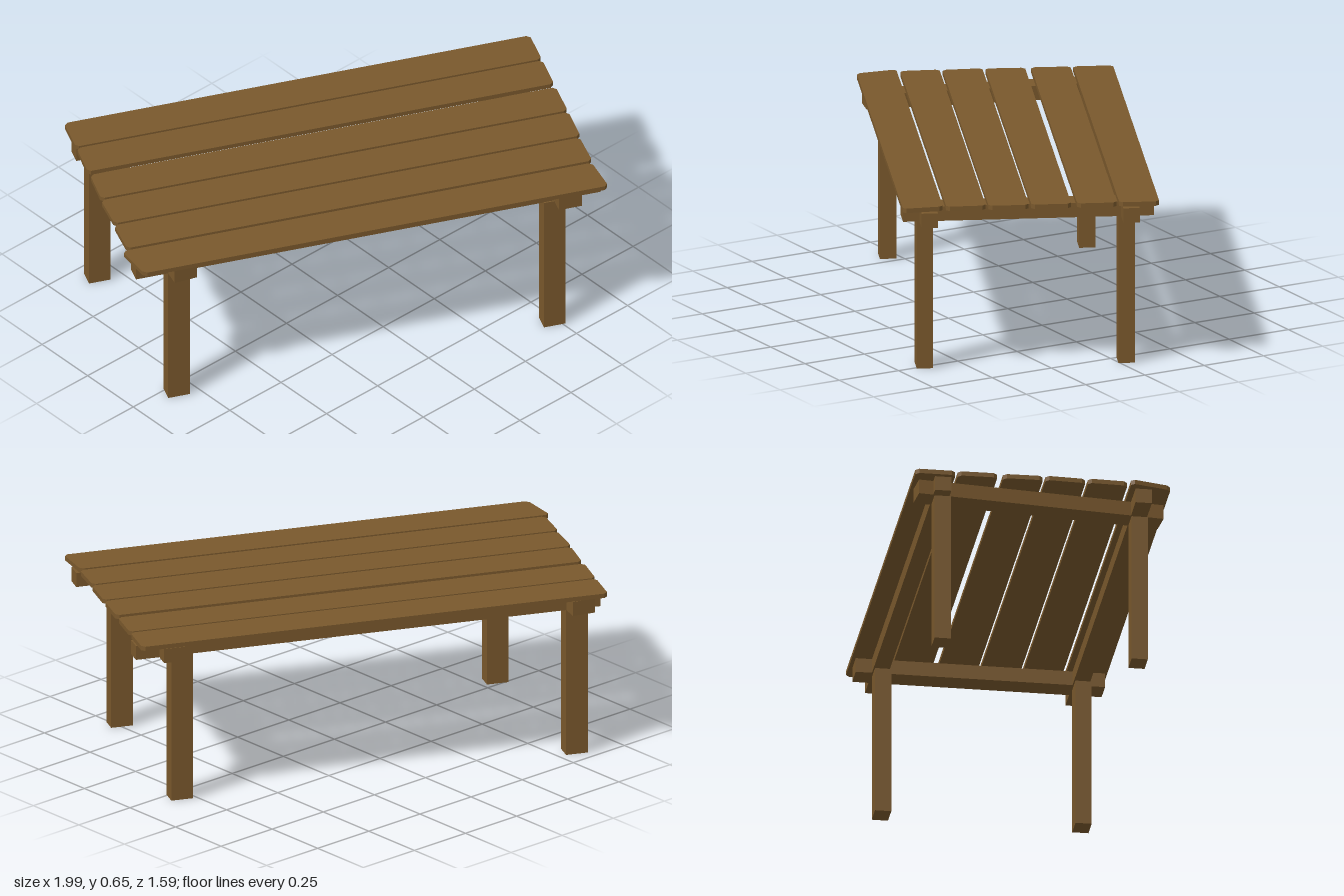
import * as THREE from 'three';

export function createModel() {
  const table = new THREE.Group();
  table.name = 'plankTable';
  table.rotation.y = -Math.atan2(0.416, 0.909); // table stands at an angle
  const wood = new THREE.MeshStandardMaterial({ color: 0x79582c });
  wood.name = 'brownWood';

  function add(name, geometry, x, y, z, turn = 0) {
    const mesh = new THREE.Mesh(geometry, wood);
    mesh.name = name;
    mesh.position.set(x, y, z);
    mesh.rotation.y = turn;
    table.add(mesh);
  }

  // Board outline with clipped corners, laid flat
  function plank(corners, thickness) {
    const pts = corners.map(([x, z]) => new THREE.Vector2(x, -z));
    const outline = [];
    pts.forEach((p, i) => {
      for (const q of [pts[(i + 3) % 4], pts[(i + 1) % 4]]) {
        outline.push(p.clone().add(q.clone().sub(p).setLength(0.013)));
      }
    });
    return new THREE.ExtrudeGeometry(new THREE.Shape(outline), { depth: thickness, bevelEnabled: false })
      .rotateX(-Math.PI / 2);
  }

  // Tabletop boards: z range, then left and right end at the back and front edge
  const boards = [
    [-0.472, -0.325, -0.9, -0.9, 0.88, 0.88],
    [-0.316, -0.171, -0.9, -0.902, 0.88, 0.88],
    [-0.149, -0.003, -0.9, -0.903, 0.88, 0.88],
    [0.007, 0.154, -0.907, -0.9, 0.88, 0.88],
    [0.164, 0.309, -0.905, -0.9, 0.874, 0.878],
    [0.321, 0.47, -0.922, -0.884, 0.872, 0.89],
  ];
  for (const [z0, z1, l0, l1, r0, r1] of boards) {
    add('tabletopBoard', plank([[l1, z1], [r1, z1], [r0, z0], [l0, z0]], 0.017), 0, 0.634, 0);
  }

  // Long rails under the boards
  const railHeight = 0.055, railY = 0.6005;
  for (const z of [-0.37, 0.37]) {
    add('longRail', new THREE.BoxGeometry(1.775, railHeight, 0.06), -0.006, railY, z);
  }

  // Cross beams, the left one slightly askew
  const beam = new THREE.BoxGeometry(0.088, railHeight, 0.92);
  add('crossBeam', beam, 0.748, railY, 0);
  add('crossBeam', beam, -0.767, railY, 0, 0.1);

  // Legs
  const leg = new THREE.BoxGeometry(0.083, 0.574, 0.06);
  for (const [x, z] of [[0.705, 0.375], [0.703, -0.365], [-0.73, 0.373], [-0.805, -0.365]]) {
    add('leg', leg, x, 0.287, z);
  }
  return table;
}
